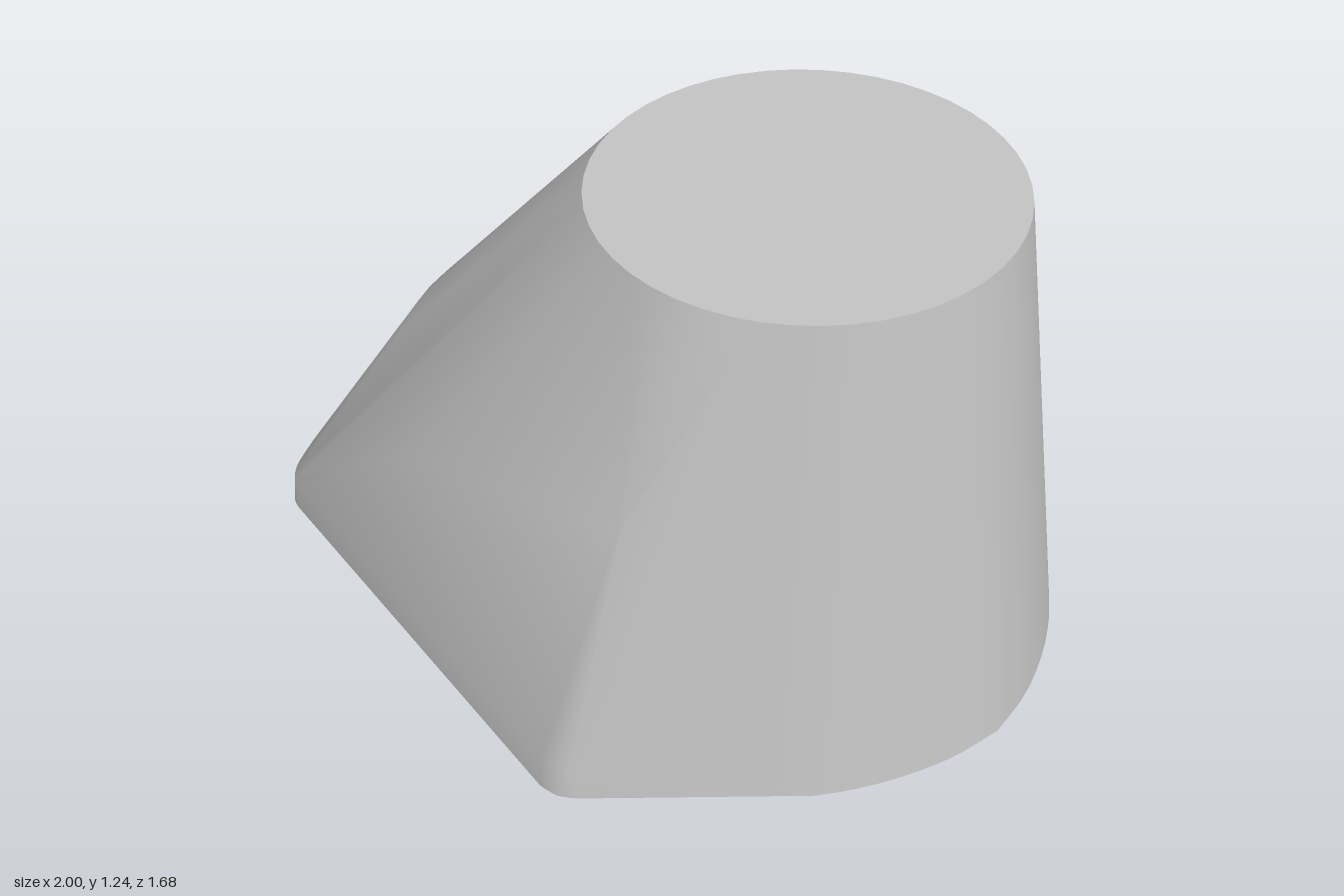
import * as THREE from 'three';
import { ConvexGeometry } from 'three/addons/geometries/ConvexGeometry.js';
import { toCreasedNormals } from 'three/addons/utils/BufferGeometryUtils.js';

const V = (x, y, z) => new THREE.Vector3(x, y, z);

// Adds a smooth run of outline points and its mirror in z
function halfCurve(pts, count) {
  const curve = new THREE.SplineCurve(pts.map(([x, z]) => new THREE.Vector2(x, z)));
  return curve.getPoints(count).flatMap(p => [[p.x, p.y], [p.x, -p.y]]);
}

export function createModel() {
  const group = new THREE.Group();
  const grey = new THREE.MeshStandardMaterial({ color: 0xc4c4c4 });
  grey.name = 'grey';
  const points = [];

  // Foot outline: rounded left end, two wide corners, rounded right end
  const outline = [
    ...halfCurve([[-1, 0], [-0.985, 0.2], [-0.94, 0.39], [-0.88, 0.53], [-0.84, 0.59], [-0.8, 0.61]], 14),
    ...halfCurve([[0.34, 0.84], [0.39, 0.835], [0.43, 0.81]], 4),
    ...halfCurve([[0.82, 0.44], [0.87, 0.37], [0.925, 0.27], [0.975, 0.14], [1, 0]], 10),
  ];
  for (const [x, z] of outline) {
    // the sole lifts slightly towards the right end
    points.push(V(x, Math.max(0, (x - 0.4) * 0.025), z));
    // narrow slanted lip above the sole
    if (x < 0.5) points.push(V(x * 0.992, 0.08, z * 0.99));
  }

  // Round flat top
  for (let i = 0; i < 48; i++) {
    const a = (i / 48) * Math.PI * 2;
    points.push(V(0.363 + 0.488 * Math.cos(a), 1.24, 0.488 * Math.sin(a)));
  }

  // Shoulder across the left slope
  const shoulder = new THREE.CatmullRomCurve3([
    V(-0.67, 0.55, -0.25), V(-0.72, 0.55, 0), V(-0.7, 0.54, 0.2), V(-0.62, 0.53, 0.38),
  ]);
  points.push(...shoulder.getPoints(9));

  // Peak on the front face, and slight bulges over the wide corners
  points.push(V(-0.25, 0.53, 0.66), V(0.43, 0.72, 0.655), V(0.43, 0.72, -0.655));

  const body = new THREE.Mesh(toCreasedNormals(new ConvexGeometry(points), 0.6), grey);
  body.name = 'body';
  group.add(body);
  return group;
}
